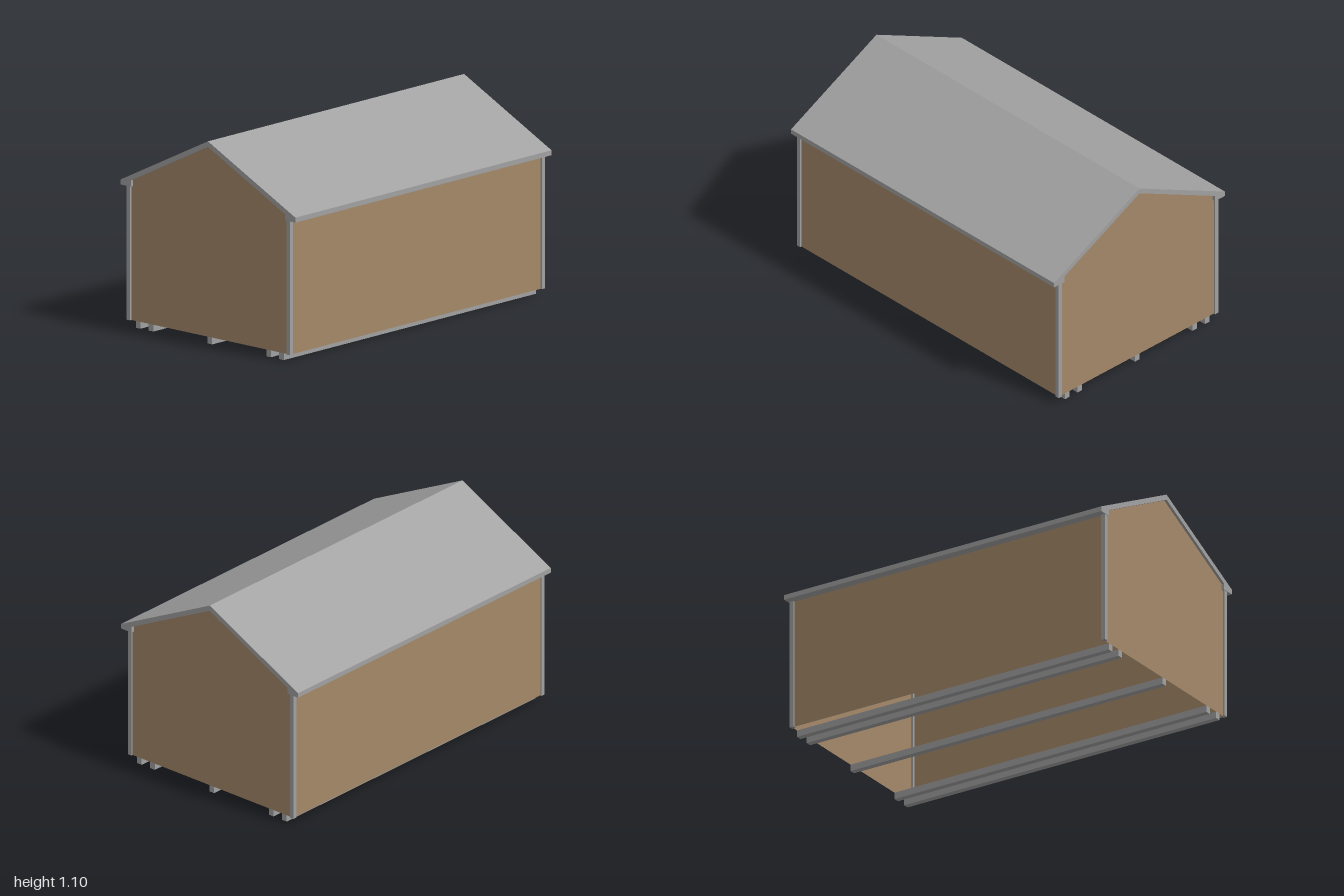
import * as THREE from 'three';

export function createModel() {
  const model = new THREE.Group();
  model.name = 'shed';
  const grey = new THREE.MeshStandardMaterial({ name: 'grey trim', color: 0xa1a1a1 });
  const wood = new THREE.MeshStandardMaterial({ name: 'tan siding', color: 0xa38868, side: THREE.DoubleSide });

  const add = (geometry, material, name, x = 0, y = 0, z = 0) => {
    const mesh = new THREE.Mesh(geometry, material);
    mesh.name = name;
    mesh.position.set(x, y, z);
    model.add(mesh);
    return mesh;
  };
  const shapeOf = (pts) => new THREE.Shape(pts.map(([x, y]) => new THREE.Vector2(x, y)));

  const floor = 0.037, eave = 0.763, wallX = 0.572;
  const front = 0.985, back = -0.982;
  const length = front - back, midZ = (front + back) / 2;

  // Roof slab with boxed eaves, extruded along the ridge
  const roof = shapeOf([
    [0, 1.1], [-0.622, 0.79], [-0.622, eave], [-0.548, eave], [-0.548, 0.797],
    [0, 1.07], [0.548, 0.797], [0.548, eave], [0.622, eave], [0.622, 0.79],
  ]);
  add(new THREE.ExtrudeGeometry(roof, { depth: 2, bevelEnabled: false }), grey, 'roof', 0, 0, -1);

  // Gable walls
  const gable = shapeOf([
    [-wallX, floor], [wallX, floor], [wallX, eave + 0.005], [0.548, 0.798],
    [0, 1.071], [-0.548, 0.798], [-wallX, eave + 0.005],
  ]);
  add(new THREE.ShapeGeometry(gable), wood, 'frontWall', 0, 0, front);
  add(new THREE.ShapeGeometry(gable), wood, 'backWall', 0, 0, back).rotation.y = Math.PI;

  for (const side of [-1, 1]) {
    const label = side > 0 ? 'left' : 'right';

    // Side walls
    const wall = add(new THREE.PlaneGeometry(length, eave - floor), wood, label + 'Wall',
      side * wallX, (floor + eave) / 2, midZ);
    wall.rotation.y = side * Math.PI / 2;

    // Ceiling lining just under the roof slope
    const lining = shapeOf([
      [0, 1.069], [side * 0.548, 0.796], [side * 0.548, 0.792], [0, 1.065],
    ]);
    add(new THREE.ExtrudeGeometry(lining, { depth: length - 0.004, bevelEnabled: false }),
      wood, label + 'Ceiling', 0, 0, back + 0.002);

    // Corner posts
    for (const [z0, z1, end] of [[0.973, 0.997, 'Front'], [-0.992, -0.968, 'Back']]) {
      add(new THREE.BoxGeometry(0.024, eave - floor, z1 - z0), grey, label + end + 'Post',
        side * 0.57, (floor + eave) / 2, (z0 + z1) / 2);
    }
  }

  // Floor skids
  for (const x of [-0.51, -0.418, 0, 0.418, 0.51]) {
    add(new THREE.BoxGeometry(0.033, floor, length), grey, 'skid', x, floor / 2, midZ);
  }
  return model;
}
